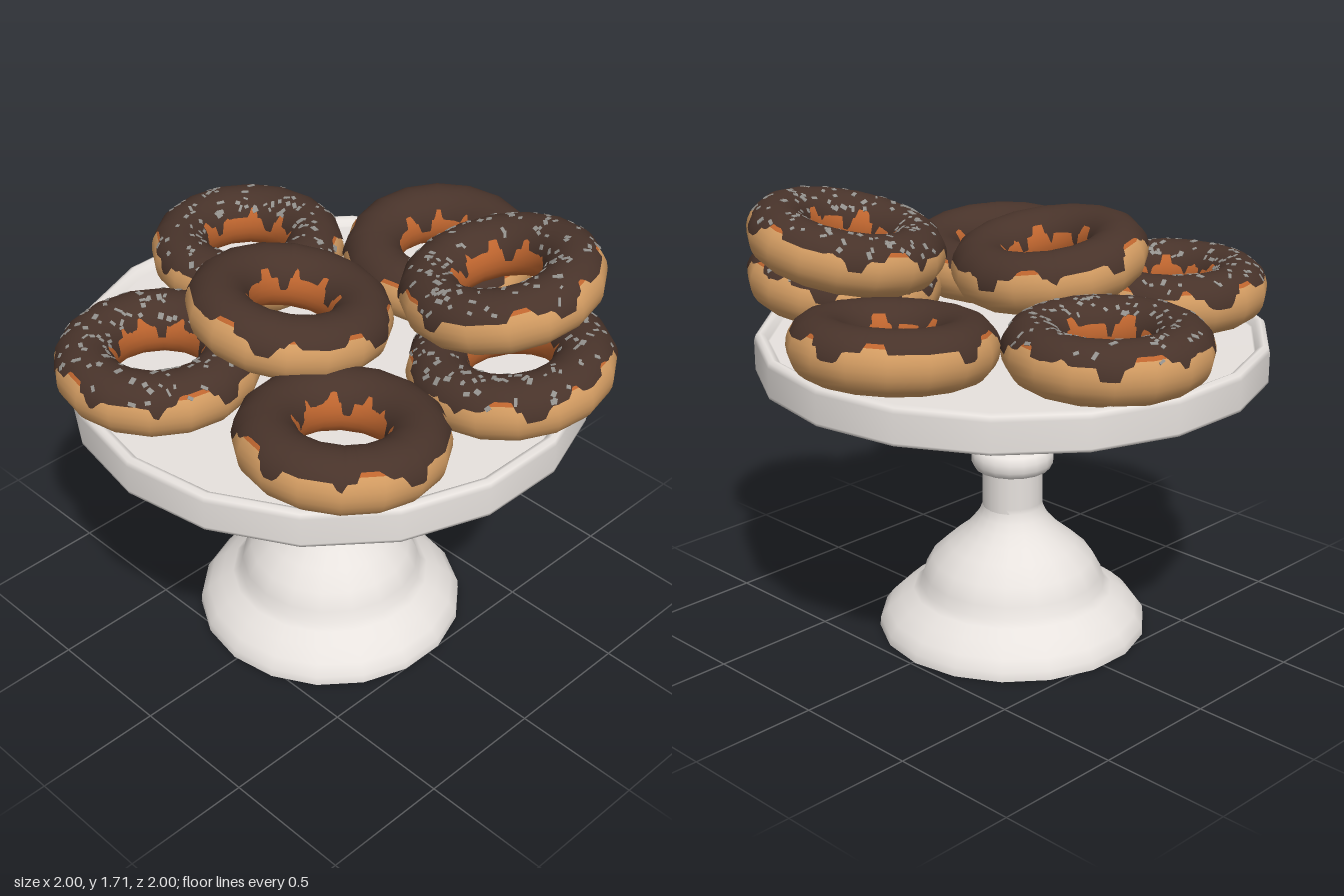
import * as THREE from 'three';
import { mergeGeometries } from 'three/addons/utils/BufferGeometryUtils.js';

const mat = (name, color) => {
  const m = new THREE.MeshStandardMaterial({ color });
  m.name = name;
  return m;
};

const RING = 0.262, TUBE = 0.112, HALF = 0.113, SIDES = 16;
const deg = Math.PI / 180;

// Radius factor that flattens a circle into a polygon
function facet(u) {
  const step = (Math.PI * 2) / SIDES;
  const a = ((u % step) + step) % step;
  return Math.cos(step / 2) / Math.cos(a - step / 2);
}

function ringPoint(u, v, lift) {
  const r = (RING + (TUBE + lift) * Math.cos(v)) * facet(u);
  return [r * Math.cos(u), (HALF + lift) * Math.sin(v), r * Math.sin(u)];
}

function ringNormal(u, v) {
  return new THREE.Vector3(Math.cos(v) * Math.cos(u), Math.sin(v) * TUBE / HALF, Math.cos(v) * Math.sin(u)).normalize();
}

// Part of a ring surface between two edges, each an angle around the tube
function ringBand(uSteps, vSteps, from, to, lift = 0) {
  const pos = [], nor = [], idx = [];
  for (let i = 0; i <= uSteps; i++) {
    const u = (i / uSteps) * Math.PI * 2;
    for (let j = 0; j <= vSteps; j++) {
      const v = THREE.MathUtils.lerp(from(u), to(u), j / vSteps);
      pos.push(...ringPoint(u, v, lift));
      nor.push(...ringNormal(u, v).toArray());
      if (i < uSteps && j < vSteps) {
        const a = i * (vSteps + 1) + j, b = a + vSteps + 1;
        idx.push(a, a + 1, b, b, a + 1, b + 1);
      }
    }
  }
  const g = new THREE.BufferGeometry();
  g.setAttribute('position', new THREE.Float32BufferAttribute(pos, 3));
  g.setAttribute('normal', new THREE.Float32BufferAttribute(nor, 3));
  g.setIndex(idx);
  return g;
}

// Amount of icing drip, 0 to 1, around the ring: broad steps with narrow runs
function drip(u, phase) {
  const w = Math.sin(9 * u + phase) + 0.7 * Math.sin(5 * u + phase * 2.3) + 0.4 * Math.sin(17 * u + phase);
  const step = THREE.MathUtils.smoothstep(w, -1.1, -0.5);
  const run = THREE.MathUtils.smoothstep(w, 0.6, 1.2);
  return 0.45 * step + 0.55 * run;
}

function seeded(seed) {
  let s = seed * 7919 + 17;
  return () => (s = (s * 16807) % 2147483647) / 2147483647;
}

// Thin flecks lying on the icing
function sprinkleGeometry(seed) {
  const rnd = seeded(seed), list = [];
  const up = new THREE.Vector3(0, 1, 0);
  for (let i = 0; i < 120; i++) {
    const u = rnd() * Math.PI * 2, v = (32 + rnd() * 112) * deg;
    const g = new THREE.BoxGeometry(0.012 + rnd() * 0.02, 0.004, 0.008 + rnd() * 0.012);
    g.rotateY(rnd() * Math.PI);
    g.applyQuaternion(new THREE.Quaternion().setFromUnitVectors(up, ringNormal(u, v)));
    g.translate(...ringPoint(u, v, 0.004));
    list.push(g);
  }
  return mergeGeometries(list);
}

export function createModel() {
  const model = new THREE.Group();
  model.name = 'doughnutStand';
  const china = mat('china', 0xe7e2de);
  const dough = mat('goldenDough', 0xd39c62);
  const innerDough = mat('orangeDough', 0xc0662f);
  const icing = mat('chocolateIcing', 0x48332a);
  const fleck = mat('greySprinkle', 0x93918d);

  const add = (parent, name, geometry, material) => {
    const m = new THREE.Mesh(geometry, material);
    m.name = name;
    parent.add(m);
  };

  // Stand: turned foot, collared stem and rimmed plate
  const turned = (name, profile) => {
    const g = new THREE.LatheGeometry(profile.map(([r, y]) => new THREE.Vector2(r, y)), 18);
    g.rotateY(10 * deg);
    g.translate(-0.037, 0, -0.013);
    add(model, name, g, china);
  };
  turned('footBase', [[0, 0], [0.523, 0]]);
  turned('foot', [[0.523, 0], [0.52, 0.035], [0.49, 0.075], [0.44, 0.12], [0.39, 0.152],
    [0.362, 0.175], [0.35, 0.22], [0.315, 0.285], [0.25, 0.345], [0.195, 0.39], [0.158, 0.43], [0.132, 0.465],
    [0.117, 0.5], [0.117, 0.52]]);
  turned('stem', [[0.117, 0.5], [0.117, 1.09]]);
  turned('collar', [[0.115, 0.655], [0.147, 0.66], [0.159, 0.685], [0.159, 0.715], [0.147, 0.742], [0.115, 0.75]]);
  turned('plate', [[0, 1.08], [0.963, 1.08], [0.963, 1.09], [0.963, 1.195], [0.957, 1.214],
    [0.94, 1.222], [0.922, 1.214], [0.912, 1.192], [0.905, 1.19], [0, 1.19]]);

  // Doughnuts: name, centre, slope along x and z, sprinkled or plain
  const doughnuts = [
    ['leftRear', -0.618, 1.309, -0.287, 0, 0, true],
    ['rear', 0.12, 1.309, -0.628, 0, 0, true],
    ['side', 0.623, 1.313, -0.077, 0.09, -0.04, false],
    ['frontCorner', -0.48, 1.321, 0.503, -0.1, 0.03, false],
    ['front', 0.24, 1.327, 0.622, 0.08, 0.09, true],
    ['upperMiddle', -0.21, 1.453, -0.037, -0.15, -0.05, false],
    ['upperFront', 0.367, 1.537, 0.455, 0.115, 0.17, true],
  ];
  const up = new THREE.Vector3(0, 1, 0);
  doughnuts.forEach(([name, x, y, z, sx, sz, sprinkled], i) => {
    const d = new THREE.Group();
    d.name = name + 'Doughnut';
    d.position.set(x, y, z);
    d.quaternion.setFromUnitVectors(up, new THREE.Vector3(-sx, 1, -sz).normalize());
    const phase = i * 1.7 + 0.4;
    add(d, 'outerDough', ringBand(SIDES, 8, () => -75 * deg, () => 37 * deg), dough);
    add(d, 'innerDough', ringBand(SIDES, 16, () => 37 * deg, () => 285 * deg), innerDough);
    add(d, 'icing', ringBand(144, 16,
      (u) => (45 - 40 * drip(u, phase)) * deg,
      (u) => (138 + 42 * drip(u, phase + 2)) * deg, 0.004), icing);
    if (sprinkled) add(d, 'sprinkles', sprinkleGeometry(i + 1), fleck);
    model.add(d);
  });
  return model;
}
